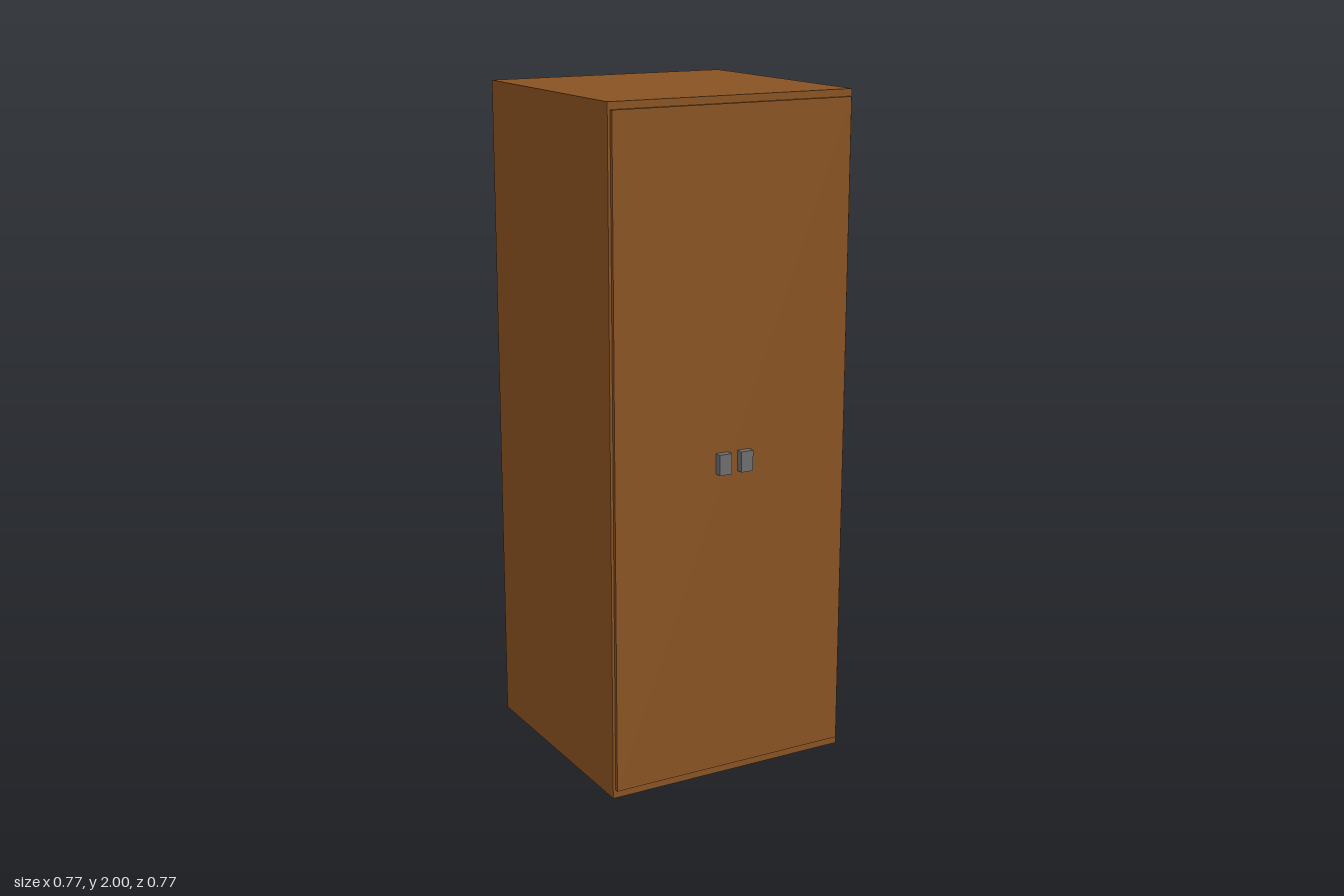
import * as THREE from 'three';

export function createModel() {
  const model = new THREE.Group();
  model.name = 'cabinet';

  const wood = new THREE.MeshStandardMaterial({ color: 0x885222 });
  wood.name = 'brown wood';
  const metal = new THREE.MeshStandardMaterial({ color: 0x6c6c6e });
  metal.name = 'grey metal';

  // Box given by its minimum and maximum corners
  function addBox(name, material, [x0, y0, z0], [x1, y1, z1]) {
    const mesh = new THREE.Mesh(new THREE.BoxGeometry(x1 - x0, y1 - y0, z1 - z0), material);
    mesh.position.set((x0 + x1) / 2, (y0 + y1) / 2, (z0 + z1) / 2);
    mesh.name = name;
    model.add(mesh);
  }

  // Carcass
  addBox('body', wood, [-0.387, 0, -0.387], [0.387, 2, 0.353]);

  // Raised front panel
  addBox('doorPanel', wood, [-0.379, 0.025, 0.353], [0.379, 1.979, 0.364]);

  // Pair of handles either side of the middle
  addBox('leftHandle', metal, [0.016, 0.936, 0.364], [0.055, 0.997, 0.386]);
  addBox('rightHandle', metal, [-0.055, 0.936, 0.364], [-0.016, 0.997, 0.386]);

  return model;
}
